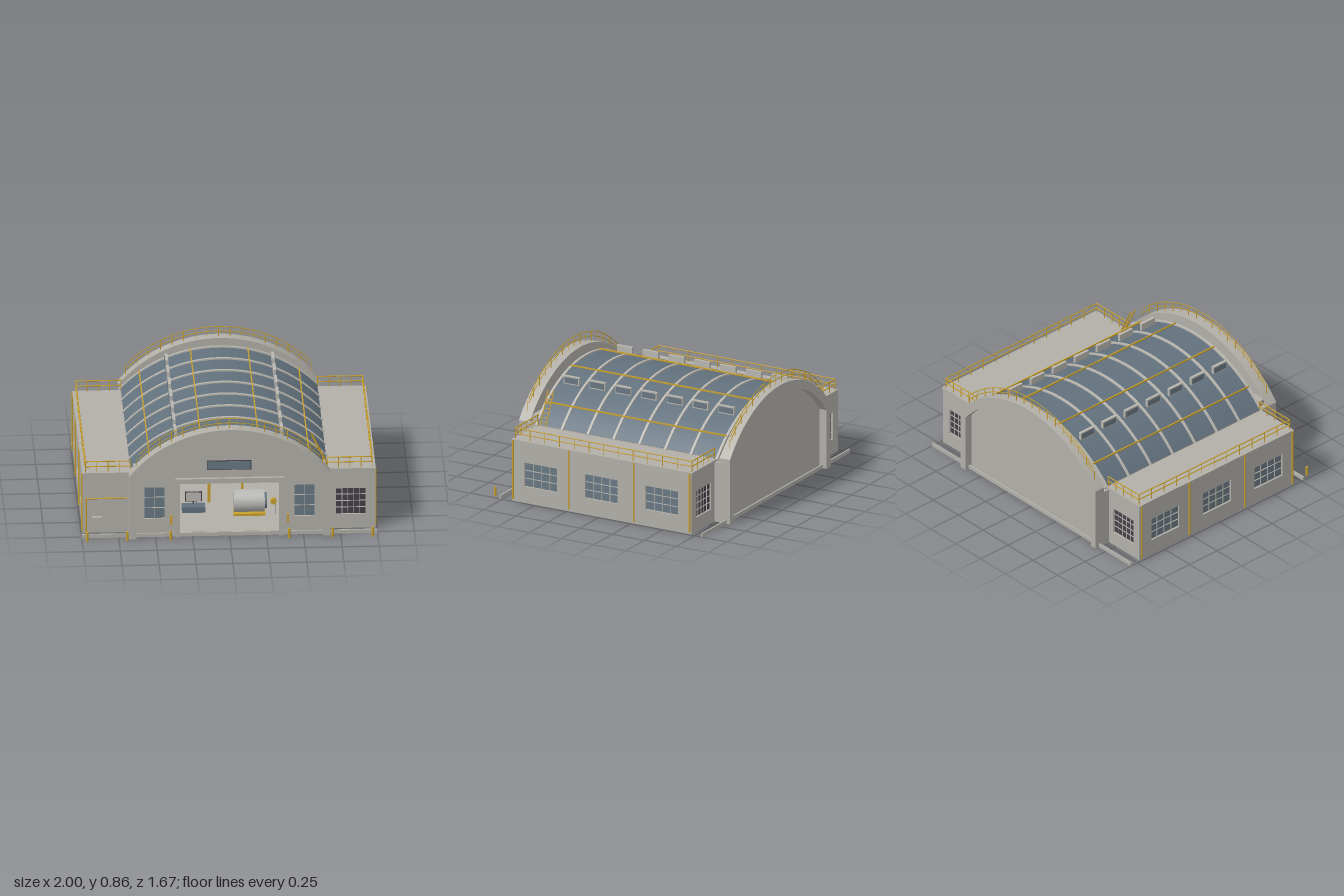
import * as THREE from 'three';
import { toCreasedNormals } from 'three/addons/utils/BufferGeometryUtils.js';

const mat = (name, color, side = THREE.FrontSide) => {
  const m = new THREE.MeshStandardMaterial({ color, side });
  m.name = name;
  return m;
};

export function createModel() {
  const concrete = mat('concrete', 0xb2afa8);
  const trim = mat('pale trim', 0xb9b6af);
  const roofBlue = mat('roof blue', 0x62717d);
  const glass = mat('glass', 0x687882);
  const yellow = mat('safety yellow', 0xc9a02c);
  const dark = mat('dark glass', 0x45404a);
  const black = mat('black base', 0x222226);
  const steel = mat('steel', 0xb8b8b6);

  const root = new THREE.Group();
  root.name = 'hangar';
  const group = (name, parent = root) => {
    const g = new THREE.Group();
    g.name = name;
    parent.add(g);
    return g;
  };
  const add = (parent, name, geo, m) => {
    const mesh = new THREE.Mesh(geo, m);
    mesh.name = name;
    parent.add(mesh);
    return mesh;
  };
  // box given by its min and max on each axis
  const box = (p, name, m, x0, x1, y0, y1, z0, z1) => {
    const b = add(p, name, new THREE.BoxGeometry(Math.abs(x1 - x0), y1 - y0, z1 - z0), m);
    b.position.set((x0 + x1) / 2, (y0 + y1) / 2, (z0 + z1) / 2);
    return b;
  };
  // round bar between two points
  const bar = (p, name, m, a, b, r = 0.003, sides = 6) => {
    const A = new THREE.Vector3(...a), d = new THREE.Vector3(...b).sub(A);
    const c = add(p, name, new THREE.CylinderGeometry(r, r, d.length(), sides), m);
    c.position.copy(A).addScaledVector(d, 0.5);
    c.quaternion.setFromUnitVectors(new THREE.Vector3(0, 1, 0), d.normalize());
    return c;
  };

  // shallow circular arch: half width, spring height, crown height
  const archY = (x, [hw, spring, top]) => {
    const h = top - spring, R = (hw * hw + h * h) / (2 * h);
    return top - R + Math.sqrt(R * R - x * x);
  };
  const archPoints = (a, n = 40) => {
    const h = a[2] - a[1], R = (a[0] ** 2 + h * h) / (2 * h), t = Math.asin(a[0] / R);
    return Array.from({ length: n + 1 }, (_, i) => {
      const k = t * (1 - (2 * i) / n);
      return new THREE.Vector2(R * Math.sin(k), a[2] - R + R * Math.cos(k));
    });
  };
  const legs = (a) => [new THREE.Vector2(a[0], 0), ...archPoints(a), new THREE.Vector2(-a[0], 0)];
  const band = (p, name, m, outer, inner, z0, z1) => {
    const geo = new THREE.ExtrudeGeometry(new THREE.Shape([...outer, ...inner.reverse()]), { depth: z1 - z0, bevelEnabled: false });
    const b = add(p, name, toCreasedNormals(geo, 0.5), m);
    b.position.z = z0;
    return b;
  };
  const rectPath = (x0, x1, y0, y1) => [[x0, y0], [x1, y0], [x1, y1], [x0, y1]].map((q) => new THREE.Vector2(...q));

  // wall facing +z with recessed, gridded windows {x, y, w, h, cols, rows, m}
  const wall = (p, name, shape, t, windows) => {
    const g = group(name, p);
    for (const w of windows) shape.holes.push(new THREE.Path(rectPath(w.x - w.w / 2, w.x + w.w / 2, w.y - w.h / 2, w.y + w.h / 2)));
    add(g, 'wallPanel', new THREE.ExtrudeGeometry(shape, { depth: t, bevelEnabled: false }), concrete).position.z = -t;
    for (const w of windows) {
      const x0 = w.x - w.w / 2, y0 = w.y - w.h / 2, z = -0.014;
      box(g, 'windowPane', w.m, x0, x0 + w.w, y0, y0 + w.h, z - 0.006, z);
      for (let i = 1; i < w.cols; i++) {
        const x = x0 + (w.w * i) / w.cols;
        box(g, 'windowBar', trim, x - 0.002, x + 0.002, y0, y0 + w.h, z, z + 0.005);
      }
      for (let i = 1; i < w.rows; i++) {
        const y = y0 + (w.h * i) / w.rows;
        box(g, 'windowBar', trim, x0, x0 + w.w, y - 0.002, y + 0.002, z, z + 0.005);
      }
    }
    return g;
  };

  // main hall: floor, inner side walls, gables
  const RIM = [0.68, 0.46, 0.79], INNER = [0.63, 0.42, 0.73], ROOF = [0.665, 0.45, 0.737];
  box(root, 'floor', concrete, -0.66, 0.66, 0, 0.028, -0.76, 0.76);
  for (const s of [-1, 1]) box(root, 'hallSideWall', concrete, s * 0.645, s * 0.662, 0, 0.45, -0.74, 0.72);
  band(root, 'frontArchRim', concrete, legs(RIM), legs(INNER), 0.72, 0.805);
  band(root, 'backArchRim', concrete, legs(RIM), legs(INNER), -0.84, -0.765);
  const front = new THREE.Shape([...archPoints(INNER), ...[[-0.63, 0], [-0.34, 0], [-0.34, 0.395], [0.34, 0.395], [0.34, 0], [0.63, 0]].map((q) => new THREE.Vector2(...q))]);
  wall(root, 'frontWall', front, 0.035, [-1, 1].map((s) => ({ x: s * 0.508, y: 0.245, w: 0.135, h: 0.23, cols: 2, rows: 3, m: glass }))).position.z = 0.762;
  wall(root, 'backWall', new THREE.Shape(legs(INNER)), 0.04, []).position.z = -0.745;
  band(root, 'backLedge', concrete, legs([0.655, 0.44, 0.735]), legs([0.62, 0.41, 0.71]), -0.765, -0.73);
  for (const s of [-1, 1]) {
    box(root, 'backPilaster', concrete, s * 0.64, s * 0.68, 0, 0.425, -0.766, -0.72);
    box(root, 'frontPilaster', concrete, s * 0.64, s * 0.68, 0, 0.46, 0.68, 0.721);
    box(root, 'frontInfill', concrete, s * 0.41, s * 0.65, 0.03, 0.505, 0.68, 0.721);
  }
  box(root, 'headerBeam', roofBlue, -0.412, 0.412, 0.5, 0.53, 0.688, 0.721);

  // doorway surround, sign plate, wall lamps
  const frame = group('doorFrame');
  for (const s of [-1, 1]) {
    box(frame, 'doorJamb', concrete, s * 0.335, s * 0.365, 0, 0.425, 0.722, 0.785);
    box(root, 'wallLamp', yellow, s * 0.388, s * 0.401, 0.09, 0.155, 0.762, 0.78);
  }
  box(frame, 'doorLintel', concrete, -0.335, 0.335, 0.39, 0.425, 0.722, 0.785);
  box(root, 'signBorder', dark, -0.153, 0.148, 0.482, 0.55, 0.761, 0.768);
  box(root, 'signPlate', glass, -0.148, 0.143, 0.487, 0.545, 0.765, 0.772);

  // vaulted roof with ribs, purlins and roof lights
  const roof = group('roof');
  band(roof, 'roofShell', roofBlue, archPoints(ROOF), archPoints([0.65, 0.44, 0.718]), -0.735, 0.675);
  const ribZ = (i) => -0.732 + i * 0.201;
  for (let i = 0; i < 8; i++) band(roof, 'roofRib', trim, archPoints([0.676, 0.447, 0.747]), archPoints([0.66, 0.437, 0.73]), ribZ(i) - 0.009, ribZ(i) + 0.009);
  for (const x of [-0.54, -0.195, 0.195, 0.54]) {
    const y = archY(x, ROOF) + 0.012;
    box(roof, 'purlin', yellow, x - 0.004, x + 0.004, y - 0.005, y + 0.005, -0.735, 0.68);
  }
  for (let i = 0; i < 7; i++) for (const s of [-1, 1]) {
    const z = ribZ(i) + 0.1;
    box(roof, 'roofLight', trim, s * 0.35, s * 0.37, 0.65, 0.716, z - 0.06, z + 0.06);
    box(roof, 'roofLightPane', glass, s * 0.369, s * 0.373, 0.667, 0.707, z - 0.053, z + 0.053);
  }

  // guard rails following each arch
  for (const z of [0.765, -0.805]) {
    const g = group('archRailing');
    for (const lift of [0.035, 0.068]) {
      const pts = archPoints(RIM, 32).filter((q) => Math.abs(q.x) < 0.645).map((q) => new THREE.Vector3(q.x, q.y + lift, z));
      add(g, 'archRail', new THREE.TubeGeometry(new THREE.CatmullRomCurve3(pts), 48, 0.003, 5), yellow);
    }
    for (let i = -8; i <= 8; i++) {
      const x = i * 0.0785, y = archY(x, RIM);
      bar(g, 'archPost', yellow, [x, y - 0.01, z], [x, y + 0.068, z]);
    }
  }

  // side wings
  for (const s of [-1, 1]) {
    const g = group(s > 0 ? 'leftWing' : 'rightWing');
    const side = wall(g, 'wingSideWall', new THREE.Shape(rectPath(-0.7, 0.7, 0, 0.43)), 0.03,
      [0.455, -0.015, -0.487].map((z) => ({ x: -s * (z + 0.02), y: 0.203, w: 0.253, h: 0.17, cols: 4, rows: 3, m: glass })));
    side.rotation.y = (s * Math.PI) / 2;
    side.position.set(s * 0.99, 0, -0.02);
    const endWindow = { x: 0, y: 0.197, w: 0.2, h: 0.19, cols: 5, rows: 4, m: dark };
    const end = () => new THREE.Shape(rectPath(-0.164, 0.164, 0, 0.43));
    wall(g, 'wingFrontWall', end(), 0.03, s > 0 ? [endWindow] : []).position.set(s * 0.825, 0, 0.679);
    const back = wall(g, 'wingBackWall', end(), 0.03, [endWindow]);
    back.rotation.y = Math.PI;
    back.position.set(s * 0.825, 0, -0.719);
    box(g, 'wingRoof', concrete, s * 0.66, s * 0.993, 0.425, 0.44, -0.724, 0.684);
    box(g, 'wingFloor', concrete, s * 0.662, s * 0.965, 0.006, 0.02, -0.7, 0.66);
    for (const [a, b] of [[-0.69, -0.275], [-0.262, 0.228], [0.241, 0.65]]) box(g, 'undersidePanel', black, s * 0.69, s * 0.96, 0.002, 0.007, a, b);
    for (const z of [0.67, 0.235, -0.27, -0.705]) bar(g, 'downpipe', yellow, [s * 0.993, 0.015, z], [s * 0.993, 0.437, z], 0.006, 8);
    // roof-edge railing
    for (const y of [0.48, 0.517]) {
      bar(g, 'railing', yellow, [s * 0.97, y, -0.71], [s * 0.97, y, 0.665], 0.004);
      for (const z of [-0.71, 0.665]) bar(g, 'railing', yellow, [s * 0.66, y, z], [s * 0.97, y, z], 0.004);
    }
    for (let i = 0; i <= 12; i++) {
      const z = -0.71 + (1.375 * i) / 12;
      bar(g, 'railingPost', yellow, [s * 0.97, 0.435, z], [s * 0.97, 0.517, z]);
    }
    for (const z of [-0.71, 0.665]) for (let i = 0; i < 4; i++) bar(g, 'railingPost', yellow, [s * (0.665 + i * 0.076), 0.435, z], [s * (0.665 + i * 0.076), 0.517, z]);
    // bollards
    for (const x of [0.4, 0.695, 0.965]) bar(root, 'bollard', yellow, [s * x, 0, 0.826], [s * x, 0.066, 0.826], 0.009, 10);
  }

  // ground kerbs
  box(root, 'frontKerb', concrete, -1, 1, 0, 0.026, 0.76, 0.772);
  box(root, 'backKerb', concrete, -1, 1, 0, 0.026, -0.811, -0.8);

  // service pipe and cabinet
  const pipe = group('servicePipe');
  bar(pipe, 'pipeRiser', yellow, [-0.965, 0, 0.69], [-0.965, 0.255, 0.69], 0.005, 8);
  bar(pipe, 'pipeRun', yellow, [-0.968, 0.255, 0.69], [-0.67, 0.255, 0.69], 0.005, 8);
  box(root, 'utilityCabinet', concrete, -0.925, -0.86, 0.025, 0.122, 0.678, 0.708);

  // roof access ladder
  const ladder = group('ladder');
  for (const z of [0.6, 0.645]) bar(ladder, 'ladderRail', yellow, [0.672, 0.44, z], [0.56, 0.67, z], 0.004);
  for (let i = 1; i < 8; i++) bar(ladder, 'ladderRung', yellow, [0.672 - i * 0.014, 0.44 + i * 0.0288, 0.6], [0.672 - i * 0.014, 0.44 + i * 0.0288, 0.645]);

  // interior: columns, desk, screen, tank, rack
  const inside = group('interior');
  for (const x of [-0.115, 0.11]) box(inside, 'column', yellow, x - 0.009, x + 0.009, 0.028, 0.46, 0.25, 0.268);
  box(inside, 'desk', roofBlue, -0.305, -0.148, 0, 0.068, 0.36, 0.44);
  box(inside, 'screenCase', dark, -0.282, -0.168, 0.083, 0.152, 0.36, 0.37);
  box(inside, 'screenFace', trim, -0.277, -0.173, 0.088, 0.147, 0.368, 0.374);
  box(inside, 'screenStand', dark, -0.23, -0.22, 0.066, 0.085, 0.36, 0.37);
  bar(inside, 'tank', steel, [0.042, 0.117, 0.45], [0.25, 0.117, 0.45], 0.077, 32);
  bar(inside, 'tankCap', roofBlue, [0.25, 0.117, 0.45], [0.266, 0.117, 0.45], 0.055, 24);
  box(inside, 'tankCradle', yellow, 0.04, 0.255, 0.028, 0.044, 0.39, 0.51);
  bar(inside, 'hoseReel', yellow, [0.31, 0.125, 0.47], [0.31, 0.125, 0.5], 0.02, 16);
  bar(inside, 'reelStand', steel, [0.323, 0.028, 0.48], [0.323, 0.115, 0.48], 0.005, 8);
  for (const x of [-0.46, -0.38]) for (const z of [0.3, 0.5]) box(inside, 'rackPost', yellow, x, x + 0.008, 0.028, 0.23, z, z + 0.008);
  for (const y of [0.06, 0.11, 0.16, 0.21]) {
    box(inside, 'rackShelf', steel, -0.46, -0.372, y, y + 0.006, 0.3, 0.508);
    for (const z of [0.33, 0.39, 0.45]) box(inside, 'rackCrate', roofBlue, -0.445, -0.39, y + 0.006, y + 0.03, z, z + 0.035);
  }
  return root;
}
